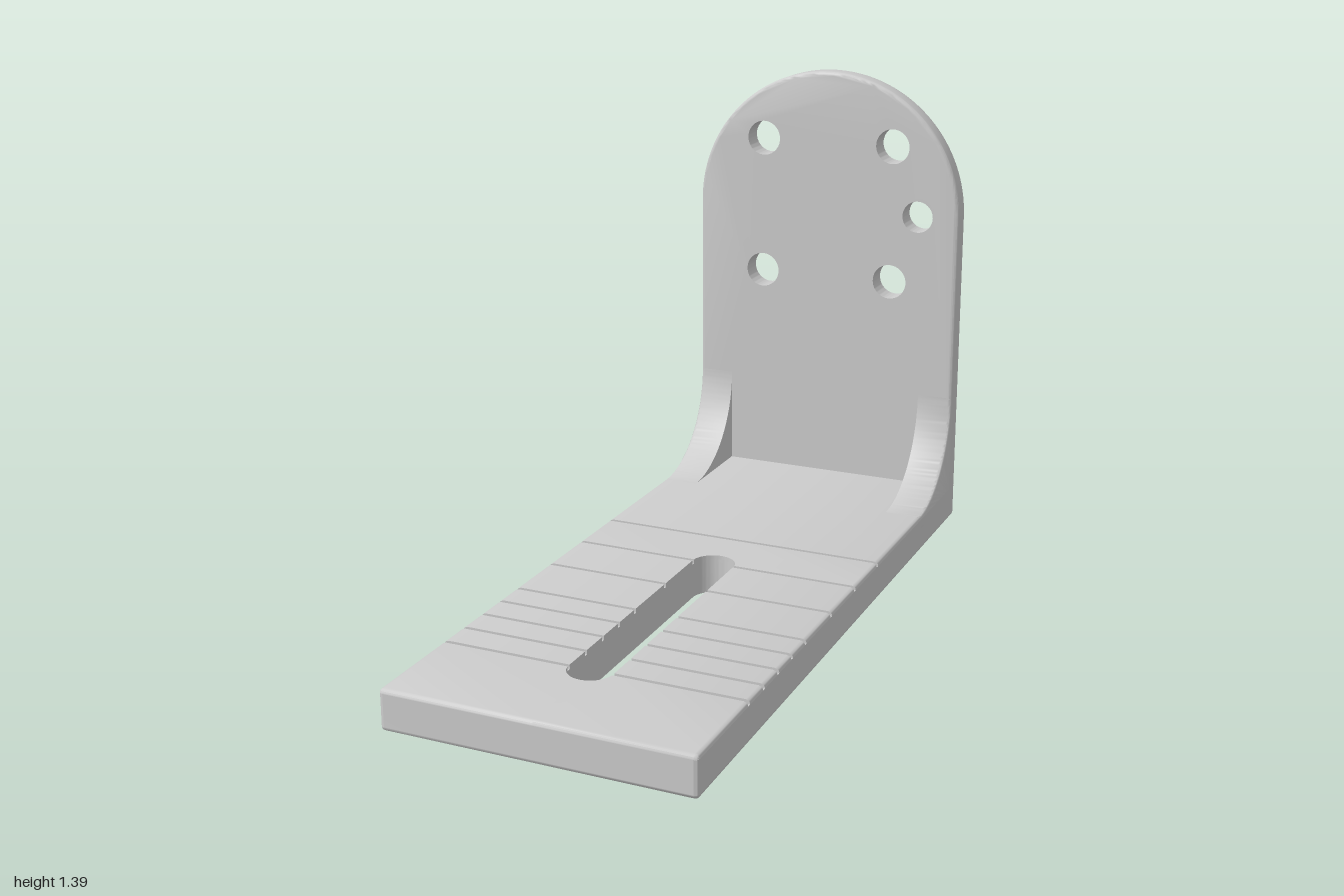
import * as THREE from 'three';
import { toCreasedNormals } from 'three/addons/utils/BufferGeometryUtils.js';

const W = 0.423;          // half width
const H = 0.113;          // base thickness
const B = 0.012;          // edge rounding, also groove depth
const BACK = -0.93;       // front face of the upright plate
const SLOT = { r: 0.062, z0: -0.053, z1: 0.698 };
const GROOVES = [-0.245, -0.055, 0.133, 0.323, 0.418, 0.512, 0.606, 0.7];
const GROOVE_HALF = 0.006;

const material = new THREE.MeshStandardMaterial({ color: 0xcccccc });

function addMesh(parent, name, geometry) {
  geometry.computeVertexNormals();
  const mesh = new THREE.Mesh(toCreasedNormals(geometry, 0.6), material);
  mesh.name = name;
  parent.add(mesh);
}

function moveVertices(geometry, rule) {
  const pos = geometry.attributes.position;
  const v = new THREE.Vector3();
  for (let i = 0; i < pos.count; i++) {
    rule(v.fromBufferAttribute(pos, i));
    pos.setXYZ(i, v.x, v.y, v.z);
  }
  return geometry;
}

// Extrude a plan drawn in (x, -z) upwards from y0 to y1
function extrudeUp(shape, y0, y1, steps = 1) {
  const g = new THREE.ExtrudeGeometry(shape, { depth: y1 - y0, steps, bevelEnabled: false, curveSegments: 16 });
  return g.rotateX(-Math.PI / 2).translate(0, y0, 0);
}

// Pull the outer rim of a layer inwards along a quarter circle;
// height(y) is the distance from the outer horizontal face
function roundRim(geometry, height) {
  return moveVertices(geometry, (p) => {
    const h = THREE.MathUtils.clamp(B - height(p.y), 0, B);
    const r = Math.sqrt(B * B - h * h);
    const qx = THREE.MathUtils.clamp(p.x, B - W, W - B);
    const qz = THREE.MathUtils.clamp(p.z, B - 1, 1 - B);
    const d = Math.hypot(p.x - qx, p.z - qz);
    if (d > r) {
      p.x = qx + (p.x - qx) * r / d;
      p.z = qz + (p.z - qz) * r / d;
    }
  });
}

// Rectangular plan with rounded corners and the long slot
function basePlan() {
  const s = new THREE.Shape();
  s.absarc(W - B, 1 - B, B, 0, Math.PI / 2);
  s.absarc(B - W, 1 - B, B, Math.PI / 2, Math.PI);
  s.absarc(B - W, B - 1, B, Math.PI, Math.PI * 1.5);
  s.absarc(W - B, B - 1, B, Math.PI * 1.5, Math.PI * 2);
  const hole = new THREE.Path();
  hole.absarc(0, -SLOT.z0, SLOT.r, 0, Math.PI);
  hole.absarc(0, -SLOT.z1, SLOT.r, Math.PI, Math.PI * 2);
  hole.closePath();
  s.holes.push(hole);
  return s;
}

// Half width of the slot at z
function slotWidth(z) {
  const d = Math.max(SLOT.z0 - z, z - SLOT.z1, 0);
  return d < SLOT.r ? Math.sqrt(SLOT.r ** 2 - d ** 2) : 0;
}

// One side of the top surface between two grooves
function stripPlan(za, zb, side) {
  const zs = [za, zb];
  for (let i = 0; i <= 16; i++) {
    const c = SLOT.r * Math.cos(i / 16 * Math.PI / 2);
    for (const z of [SLOT.z0 - c, SLOT.z1 + c]) if (z > za && z < zb) zs.push(z);
  }
  zs.sort((a, b) => a - b);
  const pts = zs.map((z) => new THREE.Vector2(side * slotWidth(z), -z));
  if (zb === 1) {
    for (let i = 0; i <= 6; i++) {
      const a = i / 6 * Math.PI / 2;
      pts.push(new THREE.Vector2(side * (W - B + B * Math.sin(a)), -(1 - B + B * Math.cos(a))));
    }
  } else pts.push(new THREE.Vector2(side * W, -zb));
  pts.push(new THREE.Vector2(side * W, -za));
  return new THREE.Shape(pts);
}

function buildBase() {
  const base = new THREE.Group();
  base.name = 'base';
  addMesh(base, 'baseUnderside', roundRim(extrudeUp(basePlan(), 0, B, 4), (y) => y));
  addMesh(base, 'baseSlab', extrudeUp(basePlan(), B, H - B));
  // Raised strips leave the grooves between them
  const starts = [-0.98, ...GROOVES.map((z) => z + GROOVE_HALF)];
  const ends = [...GROOVES.map((z) => z - GROOVE_HALF), 1];
  starts.forEach((za, i) => {
    for (const side of [-1, 1]) {
      const g = extrudeUp(stripPlan(za, ends[i], side), H - B, H, 4);
      addMesh(base, 'topStrip', roundRim(g, (y) => H - y));
    }
  });
  return base;
}

// Upright plate: round top, five straight holes, softened outline
function buildUpright(parent) {
  const top = 1.39 - W;
  const s = new THREE.Shape();
  s.moveTo(-W, 0.08);
  s.lineTo(W, 0.08);
  s.lineTo(W, top);
  s.absarc(0, top, W, 0, Math.PI);
  s.closePath();
  const holes = [[0.295, 0.965, 0.048]];
  for (const x of [-0.21, 0.21]) for (const y of [0.755, 1.175]) holes.push([x, y, 0.053]);
  for (const [x, y, r] of holes) {
    s.holes.push(new THREE.Path().absarc(x, y, r, 0, Math.PI * 2));
  }
  const g = new THREE.ExtrudeGeometry(s, {
    depth: BACK + 1 - 2 * B, curveSegments: 40,
    bevelThickness: B, bevelSize: B, bevelOffset: -B, bevelSegments: 4,
  });
  g.translate(0, 0, B - 1);
  // Keep the hole walls straight
  moveVertices(g, (p) => {
    for (const [x, y, r] of holes) {
      const d = Math.hypot(p.x - x, p.y - y);
      if (d < r + B * 1.3) {
        p.x = x + (p.x - x) * r / d;
        p.y = y + (p.y - y) * r / d;
      }
    }
  });
  addMesh(parent, 'uprightPlate', g);
}

// Concave corner gusset, profile drawn in (-z, y), outer edge softened
function buildGusset(parent, side) {
  const r = 0.29, inner = 0.315;
  const s = new THREE.Shape();
  s.moveTo(0.98, 0.06);
  s.lineTo(0.98, H + r);
  s.lineTo(-BACK, H + r);
  s.absarc(-BACK - r, H + r, r, 0, -Math.PI / 2, true);
  s.lineTo(-BACK - r, 0.06);
  s.closePath();
  const g = new THREE.ExtrudeGeometry(s, {
    depth: W - inner - B, curveSegments: 32,
    bevelThickness: B, bevelSize: B, bevelOffset: -B, bevelSegments: 4,
  });
  g.rotateY(Math.PI / 2);
  g.translate(side > 0 ? inner : B - W, 0, 0);
  // Flatten the inner bevel so that edge stays sharp
  moveVertices(g, (p) => { p.x = side * Math.max(side * p.x, inner); });
  addMesh(parent, side > 0 ? 'leftGusset' : 'rightGusset', g);
}

export function createModel() {
  const model = new THREE.Group();
  model.name = 'angleBracket';
  model.add(buildBase());
  buildUpright(model);
  for (const side of [-1, 1]) buildGusset(model, side);
  return model;
}
